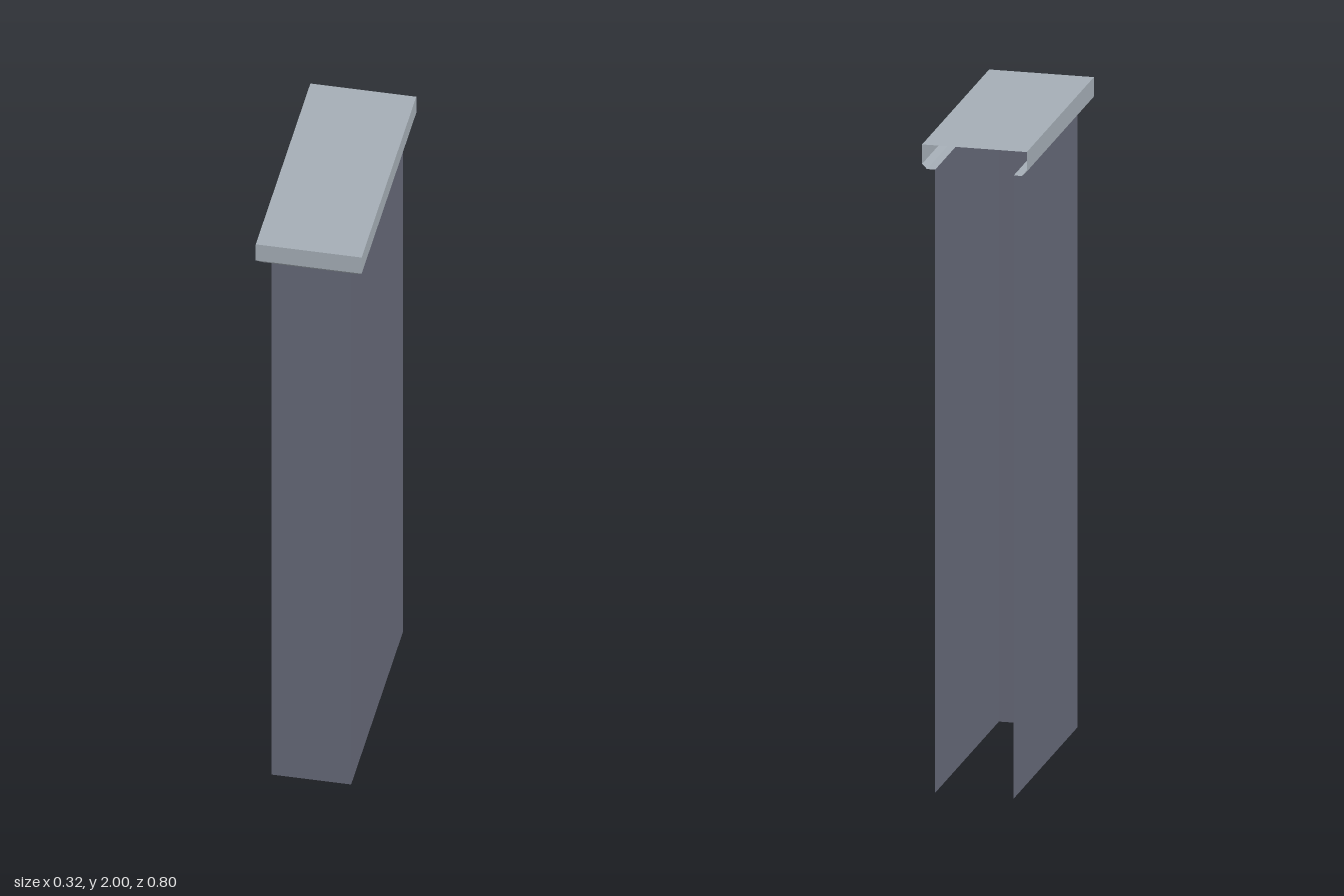
import * as THREE from 'three';

const BACK = -0.4;

// Three-sided outline, open at the back: half width w, front at z = f, height y
const outline = ([w, f, y]) => [[-w, y, BACK], [-w, y, f], [w, y, f], [w, y, BACK]];

// Open shell through a stack of outlines, listed from bottom to top
function shell(levels) {
  const pos = [];
  for (let k = 0; k < levels.length - 1; k++) {
    const lo = outline(levels[k]), hi = outline(levels[k + 1]);
    for (let i = 0; i < 3; i++) {
      pos.push(...lo[i], ...lo[i + 1], ...hi[i + 1], ...lo[i], ...hi[i + 1], ...hi[i]);
    }
  }
  const geo = new THREE.BufferGeometry();
  geo.setAttribute('position', new THREE.Float32BufferAttribute(pos, 3));
  geo.computeVertexNormals();
  return geo;
}

function material(color) {
  const m = new THREE.MeshStandardMaterial({ color, side: THREE.DoubleSide });
  m.flatShading = true;
  return m;
}

export function createModel() {
  const group = new THREE.Group();
  const add = (name, geo, mat, parent = group) => {
    const mesh = new THREE.Mesh(geo, mat);
    mesh.name = name;
    parent.add(mesh);
    return mesh;
  };
  const wallMat = material(0x656877);
  const capMat = material(0xa4adb5);

  // Thin walls, open at the back and bottom
  add('walls', shell([[0.12, 0.36, 0], [0.12, 0.36, 1.925]]), wallMat);

  // Overhanging cap: ledge, chamfer and upright rim, closed by a flat top
  const cap = new THREE.Group();
  cap.name = 'cap';
  group.add(cap);
  add('capRim', shell([
    [0.12, 0.36, 1.925], [0.145, 0.385, 1.925], [0.16, 0.4, 1.94], [0.16, 0.4, 2],
  ]), capMat, cap);
  const top = add('capTop', new THREE.PlaneGeometry(0.32, 0.8).rotateX(-Math.PI / 2), capMat, cap);
  top.position.y = 2;

  return group;
}
